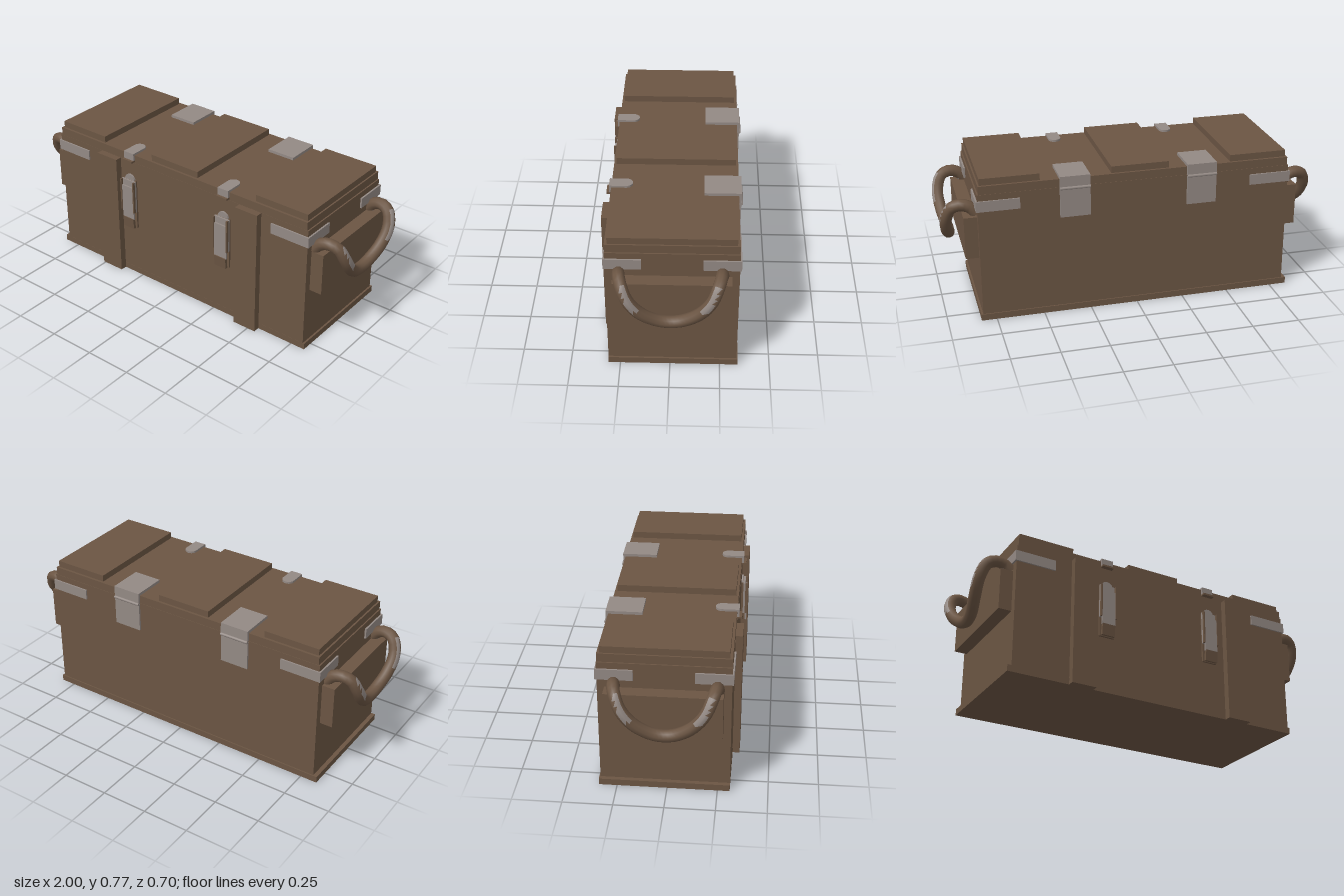
import * as THREE from 'three';

const wood = new THREE.MeshStandardMaterial({ color: 0x6b5543 });
wood.name = 'brown wood';
const steel = new THREE.MeshStandardMaterial({ color: 0x938984 });
steel.name = 'grey steel';

// Box given by its limits on each axis
function box(parent, name, mat, [x0, x1], [y0, y1], [z0, z1]) {
  const mesh = new THREE.Mesh(new THREE.BoxGeometry(x1 - x0, y1 - y0, z1 - z0), mat);
  mesh.position.set((x0 + x1) / 2, (y0 + y1) / 2, (z0 + z1) / 2);
  mesh.name = name;
  parent.add(mesh);
  return mesh;
}

// Plate with one fully rounded end, pointing along +y before rotation
function roundedPlate(name, width, length, depth) {
  const r = width / 2;
  const s = new THREE.Shape();
  s.moveTo(-r, 0);
  s.lineTo(r, 0);
  s.lineTo(r, length - r);
  s.absarc(0, length - r, r, 0, Math.PI, false);
  s.closePath();
  const mesh = new THREE.Mesh(
    new THREE.ExtrudeGeometry(s, { depth, bevelEnabled: false, curveSegments: 8 }), steel);
  mesh.name = name;
  return mesh;
}

// Drooping rope handle with worn steel-grey patches on its legs
function ropeHandle(side) {
  const pts = [
    [0.82, 0.57, 0.25], [0.845, 0.6, 0.247], [0.89, 0.617, 0.243], [0.94, 0.6, 0.23],
    [0.967, 0.53, 0.2], [0.962, 0.45, 0.14], [0.945, 0.393, 0.06], [0.94, 0.38, 0],
  ];
  const path = [...pts, ...pts.slice(0, -1).reverse().map(([x, y, z]) => [x, y, -z])]
    .map(([x, y, z]) => new THREE.Vector3(side * x, y, z - 0.004));
  const geo = new THREE.TubeGeometry(new THREE.CatmullRomCurve3(path), 40, 0.031, 10, false);
  const { position, normal } = geo.attributes;
  const idx = Array.from(geo.index.array);
  const sorted = [[], []];
  for (let i = 0; i < idx.length; i += 3) {
    const tri = idx.slice(i, i + 3);
    const mean = (attr, axis) =>
      tri.reduce((sum, v) => sum + attr.getComponent(v, axis), 0) / 3;
    const y = mean(position, 1), z = mean(position, 2);
    const worn = y > 0.48 && y < 0.63 && mean(normal, 0) * side > 0.55 &&
      mean(normal, 2) * Math.sign(z) < 0.2;
    sorted[worn ? 1 : 0].push(...tri);
  }
  geo.setIndex([...sorted[0], ...sorted[1]]);
  geo.addGroup(0, sorted[0].length, 0);
  geo.addGroup(sorted[0].length, sorted[1].length, 1);
  const mesh = new THREE.Mesh(geo, [wood, steel]);
  mesh.name = 'ropeHandle';
  return mesh;
}

// Front latch: hinged lever plate, lower tongue and lid catch
function latch(x) {
  const g = new THREE.Group();
  g.name = 'latch';
  box(g, 'latchBackPlate', wood, [x - 0.043, x + 0.043], [0.302, 0.59], [0.305, 0.321]);
  box(g, 'latchLever', steel, [x - 0.046, x + 0.046], [0.405, 0.59], [0.321, 0.332]);
  box(g, 'latchLeverFace', steel, [x - 0.038, x + 0.038], [0.36, 0.555], [0.332, 0.341]);
  for (const s of [-1, 1])
    box(g, 'latchSideRail', wood, [x + s * 0.042 - 0.004, x + s * 0.042 + 0.004],
      [0.405, 0.59], [0.332, 0.345]);
  const tongue = box(g, 'latchTongue', wood, [x - 0.036, x + 0.036], [0.303, 0.365], [0.328, 0.342]);
  tongue.rotation.x = 0.1;
  const top = roundedPlate('latchTopPlate', 0.066, 0.06, 0.012);
  top.position.set(x, 0.56, 0.308);
  g.add(top);
  const tab = roundedPlate('catchTab', 0.066, 0.115, 0.012);
  tab.rotation.x = -Math.PI / 2;
  tab.position.set(x, 0.739, 0.315);
  g.add(tab);
  box(g, 'catchFront', steel, [x - 0.033, x + 0.033], [0.71, 0.751], [0.305, 0.32]);
  box(g, 'catchLip', wood, [x - 0.033, x + 0.033], [0.701, 0.711], [0.308, 0.334]);
  return g;
}

// Rear hinge: top leaf, back leaf and pin
function hinge(x0, x1) {
  const g = new THREE.Group();
  g.name = 'hinge';
  box(g, 'hingeTopLeaf', steel, [x0, x1], [0.735, 0.755], [-0.345, -0.16]);
  box(g, 'hingeBackLeafUpper', steel, [x0, x1], [0.695, 0.755], [-0.346, -0.33]);
  box(g, 'hingeBackLeafLower', steel, [x0, x1], [0.535, 0.69], [-0.345, -0.33]);
  const pin = new THREE.Mesh(new THREE.CylinderGeometry(0.008, 0.008, x1 - x0, 8), steel);
  pin.name = 'hingePin';
  pin.rotation.z = Math.PI / 2;
  pin.position.set((x0 + x1) / 2, 0.692, -0.346);
  g.add(pin);
  return g;
}

export function createModel() {
  const crate = new THREE.Group();
  crate.name = 'woodenCrate';

  // Chest, lid and bottom trim
  box(crate, 'chestBody', wood, [-0.82, 0.82], [0, 0.696], [-0.335, 0.31]);
  box(crate, 'lid', wood, [-0.813, 0.813], [0.696, 0.74], [-0.333, 0.309]);
  box(crate, 'bottomTrim', wood, [-0.842, 0.83], [0, 0.034], [-0.341, 0.311]);

  // Raised boards on the lid and front battens
  for (const x of [-0.652, -0.018, 0.653])
    box(crate, 'lidBoard', wood, [x - 0.152, x + 0.152], [0.74, 0.775], [-0.32, 0.296]);
  for (const x of [-0.445, 0.478])
    box(crate, 'frontBatten', wood, [x - 0.067, x + 0.067], [0, 0.695], [0.31, 0.346]);

  // Both ends: handle block, rope handle and wrapped corner straps
  for (const side of [-1, 1]) {
    const span = (a, b) => (side > 0 ? [a, b] : [-b, -a]);
    box(crate, 'handleBlock', wood, span(0.815, 0.888), [0.34, 0.564], [-0.299, 0.273]);
    crate.add(ropeHandle(side));
    const y = [0.607, 0.663];
    box(crate, 'frontStrap', steel, span(0.607, 0.829), y, [0.31, 0.318]);
    box(crate, 'backStrap', steel, span(0.607, 0.829), y, [-0.343, -0.335]);
    box(crate, 'endStrapFront', steel, span(0.82, 0.829), y, [0.135, 0.318]);
    box(crate, 'endStrapBack', steel, span(0.82, 0.829), y, [-0.343, -0.16]);
  }

  // Metal fittings
  crate.add(latch(-0.311), latch(0.315));
  crate.add(hinge(-0.42, -0.263), hinge(0.248, 0.405));
  return crate;
}
